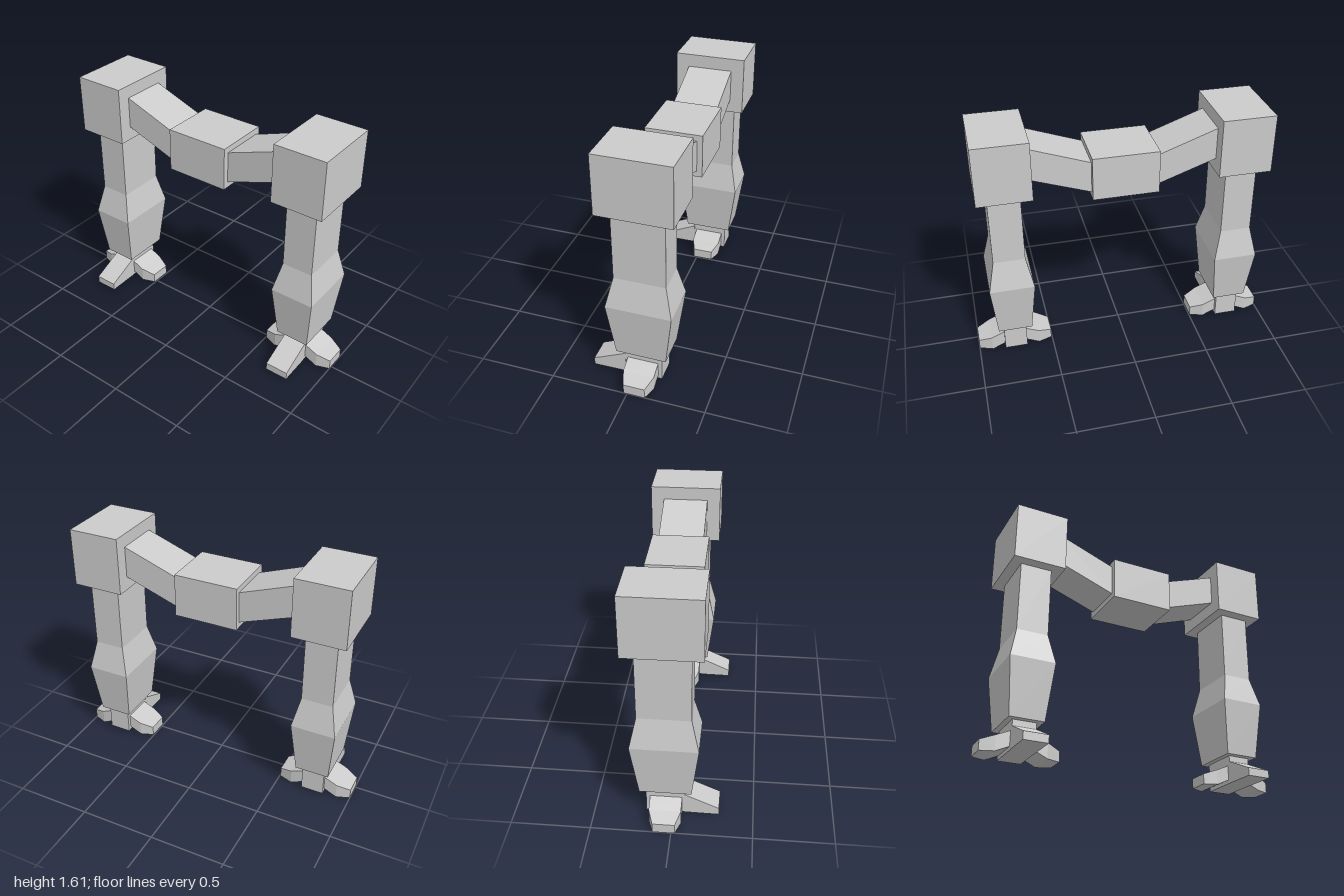
import * as THREE from 'three';

const material = new THREE.MeshStandardMaterial({ color: 0xcccccc, flatShading: true });

// Coordinates for each loft axis: point (a, b) in the section at t along the axis.
const place = {
  x: (t, a, b) => [t, a, b], // a = y, b = z
  y: (t, a, b) => [b, t, a], // a = z, b = x
  z: (t, a, b) => [a, b, t], // a = x, b = y
};

// Solid through rectangular sections [t, a0, a1, b0, b1], ordered by rising t.
function loft(name, axis, sections) {
  const rings = sections.map(([t, a0, a1, b0, b1]) =>
    [[a0, b0], [a1, b0], [a1, b1], [a0, b1]].map(([a, b]) => place[axis](t, a, b)));
  const pos = [];
  const quad = (a, b, c, d) => [a, b, c, a, c, d].forEach((p) => pos.push(...p));
  for (let i = 0; i < rings.length - 1; i++) {
    for (let k = 0; k < 4; k++) {
      const n = (k + 1) % 4;
      quad(rings[i][k], rings[i][n], rings[i + 1][n], rings[i + 1][k]);
    }
  }
  const [s, e] = [rings[0], rings[rings.length - 1]];
  quad(s[3], s[2], s[1], s[0]);
  quad(...e);
  const geometry = new THREE.BufferGeometry();
  geometry.setAttribute('position', new THREE.Float32BufferAttribute(pos, 3));
  geometry.computeVertexNormals();
  const mesh = new THREE.Mesh(geometry, material);
  mesh.name = name;
  return mesh;
}

// Box given by its limits
function block(name, x0, x1, y0, y1, z0, z1) {
  const mesh = new THREE.Mesh(new THREE.BoxGeometry(x1 - x0, y1 - y0, z1 - z0), material);
  mesh.position.set((x0 + x1) / 2, (y0 + y1) / 2, (z0 + z1) / 2);
  mesh.name = name;
  return mesh;
}

function createLeg(name) {
  const leg = new THREE.Group();
  leg.name = name;
  leg.add(block('hip', -0.187, 0.282, 1.227, 1.61, -0.171, 0.171));

  // Thigh and flared shin
  leg.add(loft('shin', 'y', [
    [0.2, -0.111, 0.111, -0.115, 0.208],
    [0.567, -0.145, 0.145, -0.161, 0.256],
    [0.765, -0.102, 0.102, -0.115, 0.212],
    [1.227, -0.102, 0.102, -0.115, 0.212],
  ]));

  leg.add(block('ankle', -0.075, 0.171, 0.015, 0.2, -0.075, 0.075));

  // Bent toes facing both ways along z
  for (const [toeName, turn] of [['frontToe', 0], ['backToe', Math.PI]]) {
    const toe = loft(toeName, 'z', [
      [0.07, -0.1, 0.1, 0.042, 0.138],
      [0.16, -0.1, 0.1, 0, 0.098],
      [0.2475, -0.069, 0.069, 0, 0.067],
    ]);
    toe.position.x = 0.046;
    toe.rotation.y = turn;
    leg.add(toe);
  }

  // Wedge toe on the right side
  leg.add(loft('sideToe', 'x', [
    [-0.285, 0.012, 0.063, -0.077, 0.077],
    [-0.07, 0.015, 0.162, -0.077, 0.077],
  ]));
  return leg;
}

export function createModel() {
  const model = new THREE.Group();
  model.name = 'walker';

  for (const [side, sign] of [['front', 1], ['back', -1]]) {
    const leg = createLeg(side + 'Leg');
    leg.position.z = sign * 0.7525;
    model.add(leg);

    // Sloped arm from the body up to the hip
    const inner = [sign * 0.21, -0.1, 0.196, 1.185, 1.39];
    const outer = [sign * 0.583, -0.1, 0.196, 1.317, 1.525];
    model.add(loft(side + 'Arm', 'z', sign > 0 ? [inner, outer] : [outer, inner]));
  }

  model.add(block('body', -0.138, 0.231, 1.147, 1.43, -0.211, 0.211));
  return model;
}
